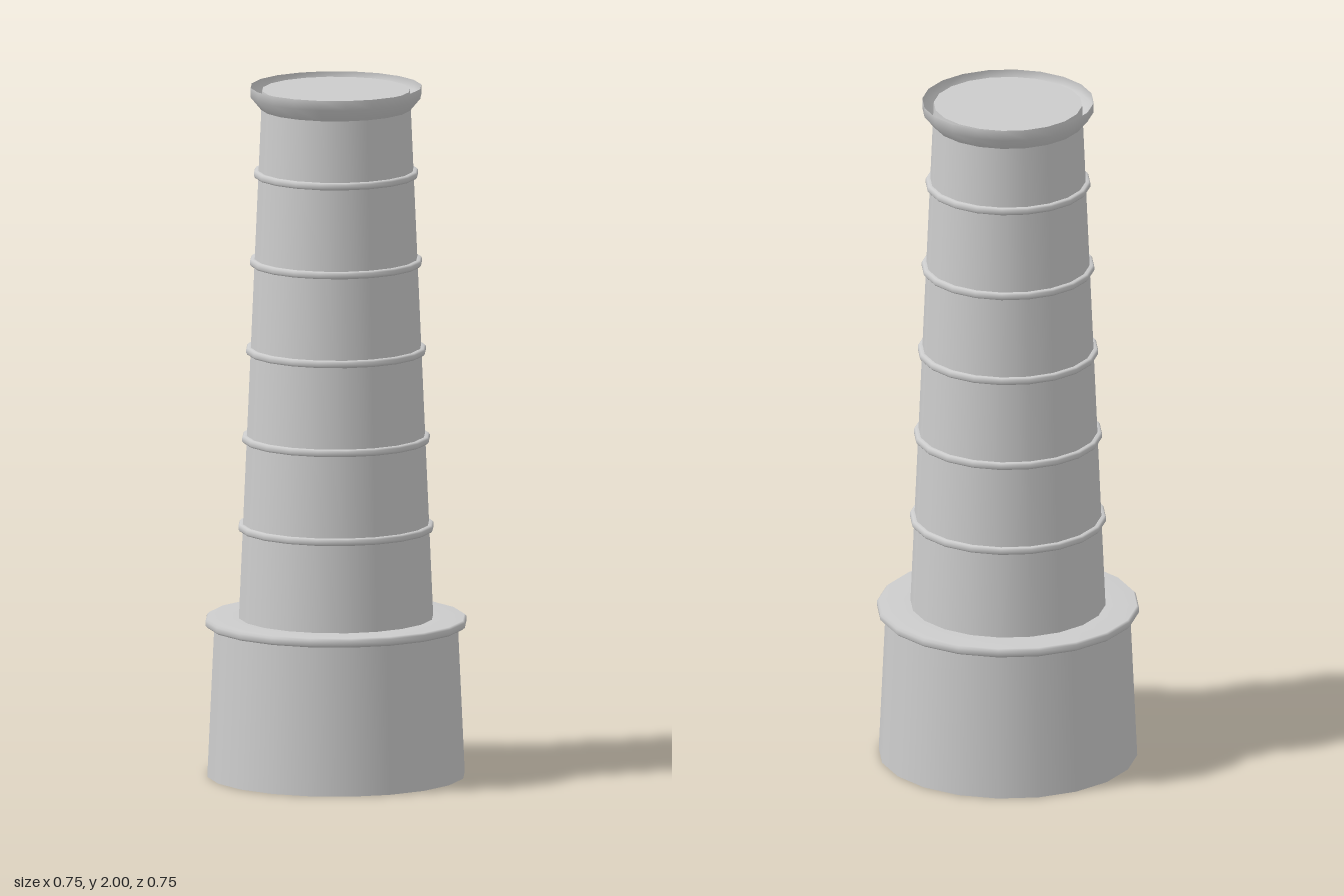
import * as THREE from 'three';

const SIDES = 20;

export function createModel() {
  const model = new THREE.Group();
  model.name = 'tower';

  const grey = new THREE.MeshStandardMaterial({ color: 0xcccccc, side: THREE.DoubleSide });
  grey.name = 'light grey';

  // Turns a [radius, height] profile around the vertical axis
  const turn = (name, profile) => {
    const points = profile.map(([r, y]) => new THREE.Vector2(r, y));
    const mesh = new THREE.Mesh(new THREE.LatheGeometry(points, SIDES), grey);
    mesh.name = name;
    model.add(mesh);
    return mesh;
  };

  const shaftBottom = 0.458, shaftTop = 1.99;
  const shaftRadius = (y) =>
    THREE.MathUtils.mapLinear(y, shaftBottom, shaftTop, 0.28, 0.213);

  // Open-bottomed base
  turn('base', [[0.371, 0], [0.351, 0.434]]);

  // Ledge with softened rim
  turn('ledge', [
    [0.351, 0.433], [0.37, 0.433], [0.376, 0.439],
    [0.376, 0.453], [0.37, 0.459], [0.278, 0.459],
  ]);

  // Tapered shaft and its flat top
  turn('shaft', [[shaftRadius(shaftBottom), shaftBottom], [shaftRadius(shaftTop), shaftTop]]);
  const top = new THREE.Mesh(new THREE.CircleGeometry(shaftRadius(shaftTop), SIDES), grey);
  top.name = 'shaftTop';
  top.rotation.x = -Math.PI / 2;
  top.position.y = shaftTop;
  model.add(top);

  // Five evenly spaced bands
  for (let i = 0; i < 5; i++) {
    const y = 0.722 + i * 0.2565;
    const r = shaftRadius(y);
    turn('band' + (i + 1), [
      [r - 0.002, y - 0.01], [r + 0.009, y - 0.01], [r + 0.013, y - 0.005],
      [r + 0.013, y + 0.005], [r + 0.009, y + 0.01], [r - 0.002, y + 0.01],
    ]);
  }

  // Thin flared collar around the top
  turn('collar', [[0.215, 1.935], [0.246, 1.972], [0.246, 2]]);

  return model;
}
